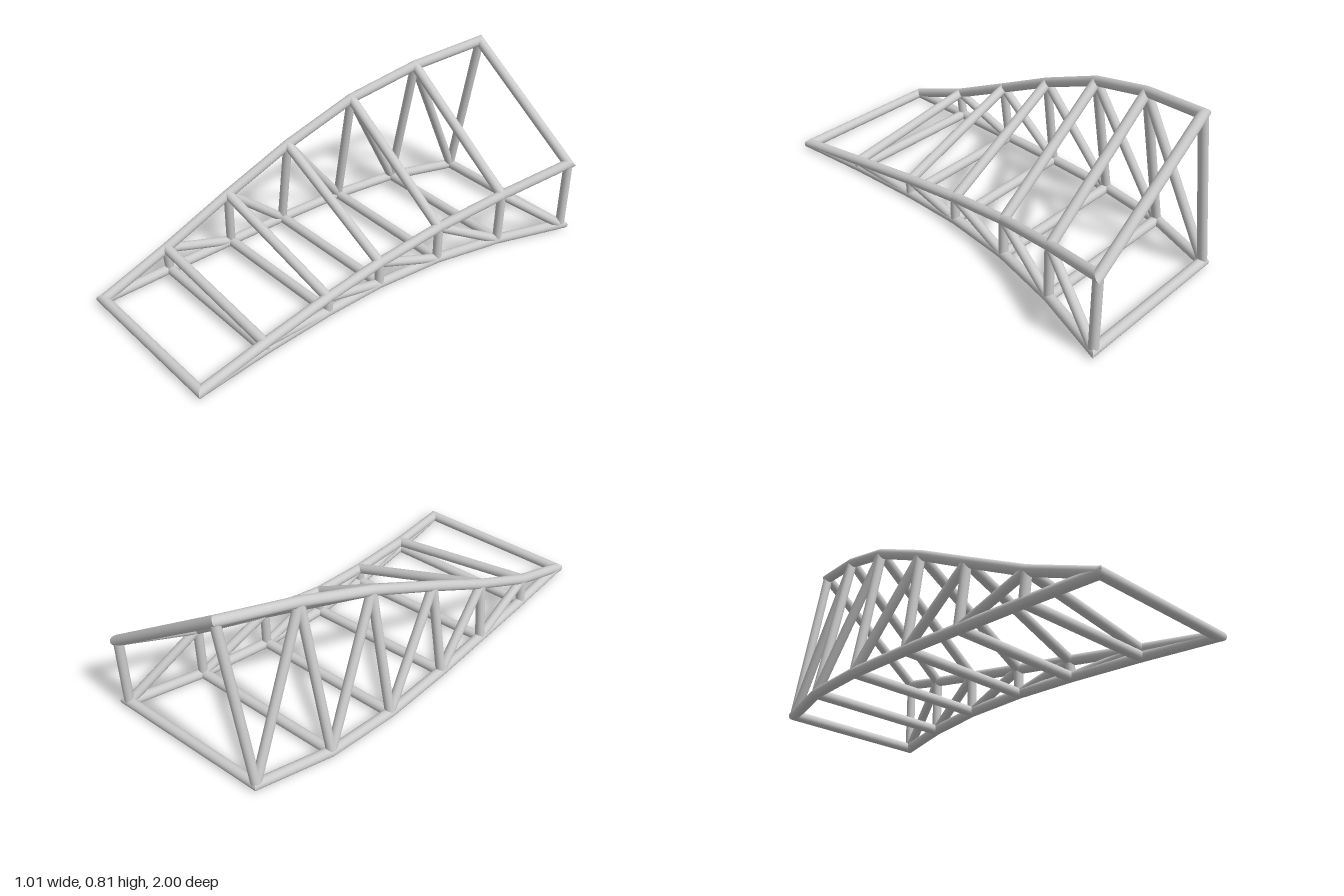
import * as THREE from 'three';

const R = 0.023;
const V = (p) => new THREE.Vector3(...p);

// Round bar from a to b; na and nb are the normals of its (mitred) end planes
function bar(name, a, b, r = R, na = null, nb = null) {
  const d = b.clone().sub(a).normalize();
  const q = new THREE.Quaternion().setFromUnitVectors(new THREE.Vector3(0, 1, 0), d);
  const geo = new THREE.CylinderGeometry(r, r, 1, 20, 1, true);
  geo.applyQuaternion(q);
  const pos = geo.attributes.position;
  const p = new THREE.Vector3();
  for (let i = 0; i < pos.count; i++) {
    p.fromBufferAttribute(pos, i);
    const along = p.dot(d);
    p.addScaledVector(d, -along); // offset within the round section
    const n = (along < 0 ? na : nb) || d;
    p.addScaledVector(d, -p.dot(n) / d.dot(n)).add(along < 0 ? a : b);
    pos.setXYZ(i, p.x, p.y, p.z);
  }
  const mesh = new THREE.Mesh(geo, new THREE.MeshStandardMaterial({ color: 0xcccccc, side: THREE.DoubleSide }));
  mesh.name = name;
  return mesh;
}

// Closed outline of bars with mitred corners
function loop(name, pts) {
  const g = new THREE.Group();
  g.name = name;
  const n = pts.length;
  const dir = pts.map((p, i) => pts[(i + 1) % n].clone().sub(p).normalize());
  const mitre = dir.map((d, i) => d.clone().add(dir[(i + n - 1) % n]).normalize());
  pts.forEach((p, i) => g.add(bar('chord', p, pts[(i + 1) % n], R, mitre[i], mitre[(i + 1) % n])));
  return g;
}

export function createModel() {
  const model = new THREE.Group();
  model.name = 'trussFrame';
  const y0 = 0.025;

  // Joints at seven stations, from front to back
  const highTop = [
    [-0.48, y0, 0.975], [-0.468, 0.15, 0.645], [-0.438, 0.31, 0.315], [-0.39, 0.47, 0],
    [-0.322, 0.62, -0.33], [-0.23, 0.72, -0.65], [-0.122, 0.785, -0.975],
  ].map(V);
  const highBase = [
    [-0.48, y0, 0.975], [-0.475, y0, 0.635], [-0.465, y0, 0.3], [-0.455, y0, 0],
    [-0.432, y0, -0.34], [-0.378, y0, -0.66], [-0.258, y0, -0.975],
  ].map(V);
  const lowTop = [
    [0.262, y0, 0.975], [0.237, 0.058, 0.635], [0.225, 0.1, 0.285], [0.231, 0.14, -0.01],
    [0.272, 0.2, -0.335], [0.358, 0.277, -0.655], [0.475, 0.37, -0.975],
  ].map(V);
  const lowBase = [
    [0.262, y0, 0.975], [0.237, y0, 0.635], [0.225, y0, 0.285], [0.231, y0, -0.01],
    [0.272, y0, -0.335], [0.355, y0, -0.655], [0.475, y0, -0.975],
  ].map(V);

  // Upper and lower outlines
  model.add(loop('upperOutline', [...highTop, ...lowTop.slice().reverse()]));
  model.add(loop('lowerOutline', [...highBase, ...lowBase.slice().reverse()]));

  // Cross bars between the two sides
  for (let i = 1; i < 6; i++) {
    model.add(bar('upperCrossBar', highTop[i], lowTop[i]));
    model.add(bar('lowerCrossBar', highBase[i], lowBase[i]));
  }

  // Posts and diagonals of both side walls
  for (const [side, top, base] of [['high', highTop, highBase], ['low', lowTop, lowBase]]) {
    for (let i = 1; i < 7; i++) {
      model.add(bar(side + 'SidePost', top[i], base[i], 0.021));
      if (i < 6) model.add(bar(side + 'SideDiagonal', top[i], base[i + 1], 0.021));
    }
  }
  return model;
}
